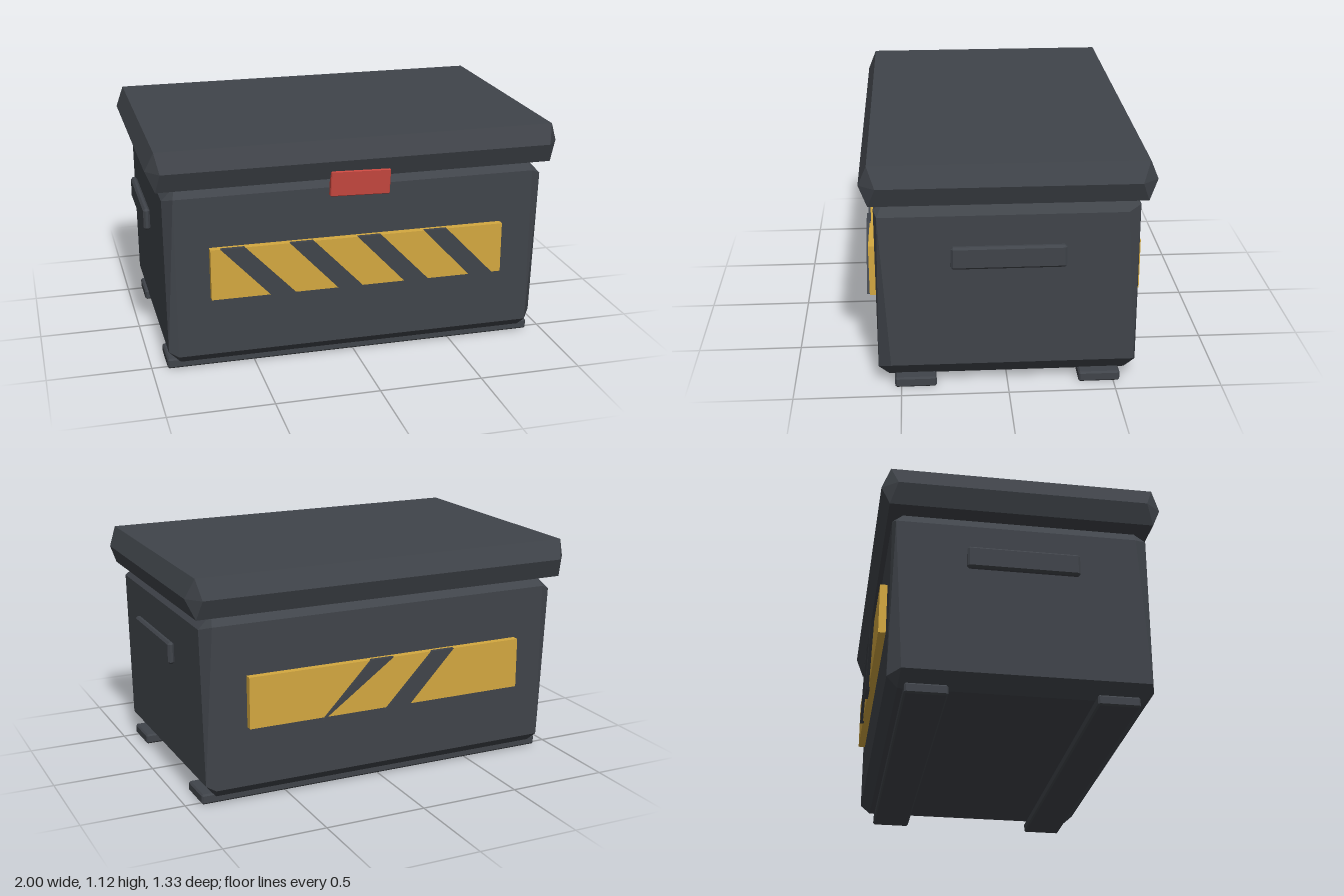
import * as THREE from 'three';
import { ConvexGeometry } from 'three/addons/geometries/ConvexGeometry.js';

const paint = (color) => new THREE.MeshStandardMaterial({ color, flatShading: true, roughness: 0.9 });
const SIGNS = [-1, 1];

// Box with cut edges and corners; inset(sx, sy, sz) gives each corner's three points
function hull(points) {
  return new ConvexGeometry(points.map((p) => new THREE.Vector3(...p)));
}
function corners(fn) {
  const out = [];
  for (const x of SIGNS) for (const y of SIGNS) for (const z of SIGNS) out.push(...fn(x, y, z));
  return out;
}
function chamferBox(w, h, d, c) {
  const [a, b, e] = [w / 2, h / 2, d / 2];
  return hull(corners((x, y, z) => [
    [x * a, y * (b - c), z * (e - c)],
    [x * (a - c), y * b, z * (e - c)],
    [x * (a - c), y * (b - c), z * e],
  ]));
}

export function createModel() {
  const group = new THREE.Group();
  const dark = paint(0x40444a);
  const yellow = paint(0xd4a840);
  const red = paint(0xc6473f);
  const add = (name, geometry, material, x = 0, y = 0, z = 0) => {
    const mesh = new THREE.Mesh(geometry, material);
    mesh.name = name;
    mesh.position.set(x, y, z);
    group.add(mesh);
    return mesh;
  };

  // Body: chipped box whose upright bevels taper alternately
  const body = corners((x, y, z) => {
    const inset = x * y * z > 0 ? 0.015 : 0.06;
    return [
      [x * 0.925, y * (y > 0 ? 0.375 : 0.37), z * (0.605 - inset)],
      [x * 0.865, y * 0.4425, z * 0.555],
      [x * 0.88, y * 0.395, z * 0.605],
    ];
  });
  add('body', hull(body), dark, 0, 0.4875, 0);

  // Lid: flat top and bottom, widest around the middle with cut corners
  const lid = corners((x, y, z) => [
    [x * 0.96, y * 0.095, z * 0.625],
    [x * 1.0, 0, z * 0.59],
    [x * 0.94, 0, z * 0.665],
  ]);
  add('lid', hull(lid), dark, 0, 1.025, 0);

  // Skids under the body
  for (const s of SIGNS) {
    add('skid', chamferBox(1.85, 0.05, 0.195, 0.008), dark, 0, 0.025, s * 0.432);
  }

  // Side handles
  for (const s of SIGNS) {
    add('handle', chamferBox(0.032, 0.108, 0.525, 0.01), dark, s * 0.962, 0.675, 0);
  }

  // Latch, leaning slightly out towards the top
  const latch = add('latch', chamferBox(0.29, 0.124, 0.03, 0.004), red, 0, 0.906, 0.631);
  latch.rotation.set(0.05, 0, -0.03);

  // Hazard panels
  for (const s of SIGNS) {
    add('hazardPanel', new THREE.BoxGeometry(1.44, 0.25, 0.06), yellow, 0, 0.51, s * 0.61);
  }

  // Slanted dark stripes
  const stripe = (x, z, half = false) => {
    const pts = [[0.25, 0], [0.37, 0], [0.115, 0.265], [0, 0.265]];
    if (half) pts.shift();
    const shape = new THREE.Shape(pts.map((p) => new THREE.Vector2(...p)));
    const geometry = new THREE.ExtrudeGeometry(shape, { depth: 0.02, bevelEnabled: false });
    add('hazardStripe', geometry, dark, x, 0.375, z);
  };
  for (let i = 0; i < 4; i++) stripe(-0.675 + i * 0.33, 0.635);
  stripe(-0.345, -0.655);
  stripe(-0.015, -0.655, true);

  return group;
}
